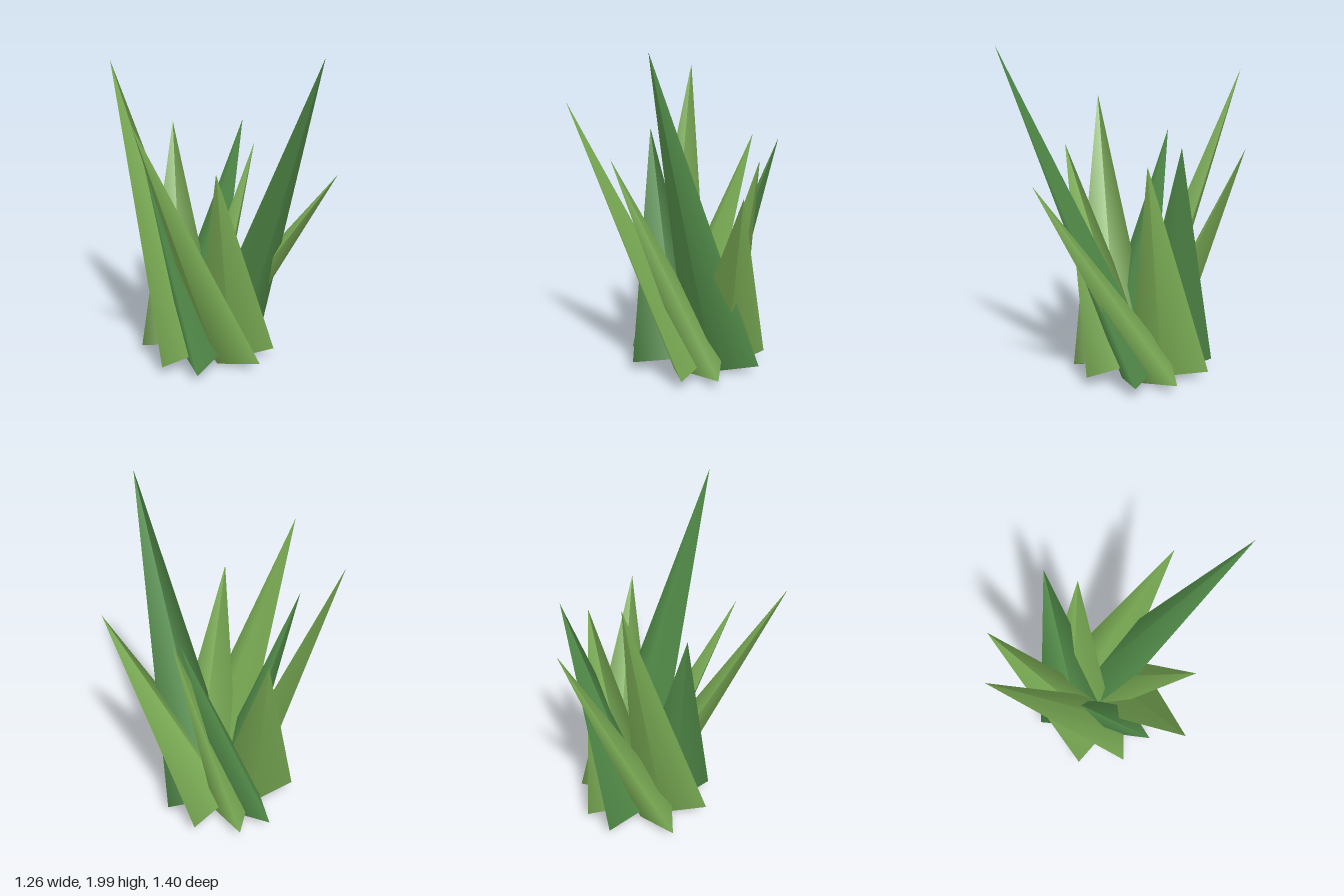
import * as THREE from 'three';

const HUB = new THREE.Vector3(0, 0.07, -0.1); // point all the blades swirl around
const OFFSET = 0.175;     // blade base centre, distance from the hub
const HALF_WIDTH = 0.257; // blade base, along the radius
const HALF_DEPTH = 0.12;  // blade base, across the radius

// Flattened four-sided spike whose broad base runs outward from the hub and
// which leans sideways to its tip
function makeBlade(tip, material) {
  const dx = tip.x - HUB.x, dz = tip.z - HUB.z;
  const angle = Math.atan2(dz, dx) - Math.acos(OFFSET / Math.hypot(dx, dz));
  const radial = new THREE.Vector3(Math.cos(angle), 0, Math.sin(angle));
  const base = HUB.clone().addScaledVector(radial, OFFSET);
  const axis = tip.clone().sub(base);
  const length = axis.length();
  axis.normalize();
  const across = new THREE.Vector3().crossVectors(radial, axis).normalize();

  const geometry = new THREE.ConeGeometry(1, 1, 4);
  geometry.translate(0, 0.5, 0);
  geometry.scale(HALF_WIDTH, length, HALF_DEPTH);
  geometry.applyMatrix4(new THREE.Matrix4().makeBasis(radial, axis, across).setPosition(base));
  return new THREE.Mesh(geometry, material);
}

export function createModel() {
  const group = new THREE.Group();
  group.name = 'grassTuft';

  const lightGreen = new THREE.MeshStandardMaterial({ color: 0x7bad55 });
  lightGreen.name = 'lightGreen';
  const deepGreen = new THREE.MeshStandardMaterial({ color: 0x528c49 });
  deepGreen.name = 'deepGreen';

  // Blade tips in order around the hub
  const blades = [
    [0.29, 2.0, 0.70, deepGreen],
    [-0.20, 1.39, 0.46, lightGreen],
    [-0.63, 1.68, 0.37, lightGreen],
    [-0.42, 1.48, -0.16, deepGreen],
    [-0.43, 1.86, -0.61, lightGreen],
    [0.01, 1.42, -0.70, lightGreen],
    [0.38, 1.46, -0.40, deepGreen],
    [0.37, 1.35, -0.21, lightGreen],
    [0.63, 1.26, 0.36, lightGreen],
  ];
  blades.forEach(([x, y, z, material], i) => {
    const blade = makeBlade(new THREE.Vector3(x, y, z), material);
    blade.name = `blade${i + 1}`;
    group.add(blade);
  });
  return group;
}
